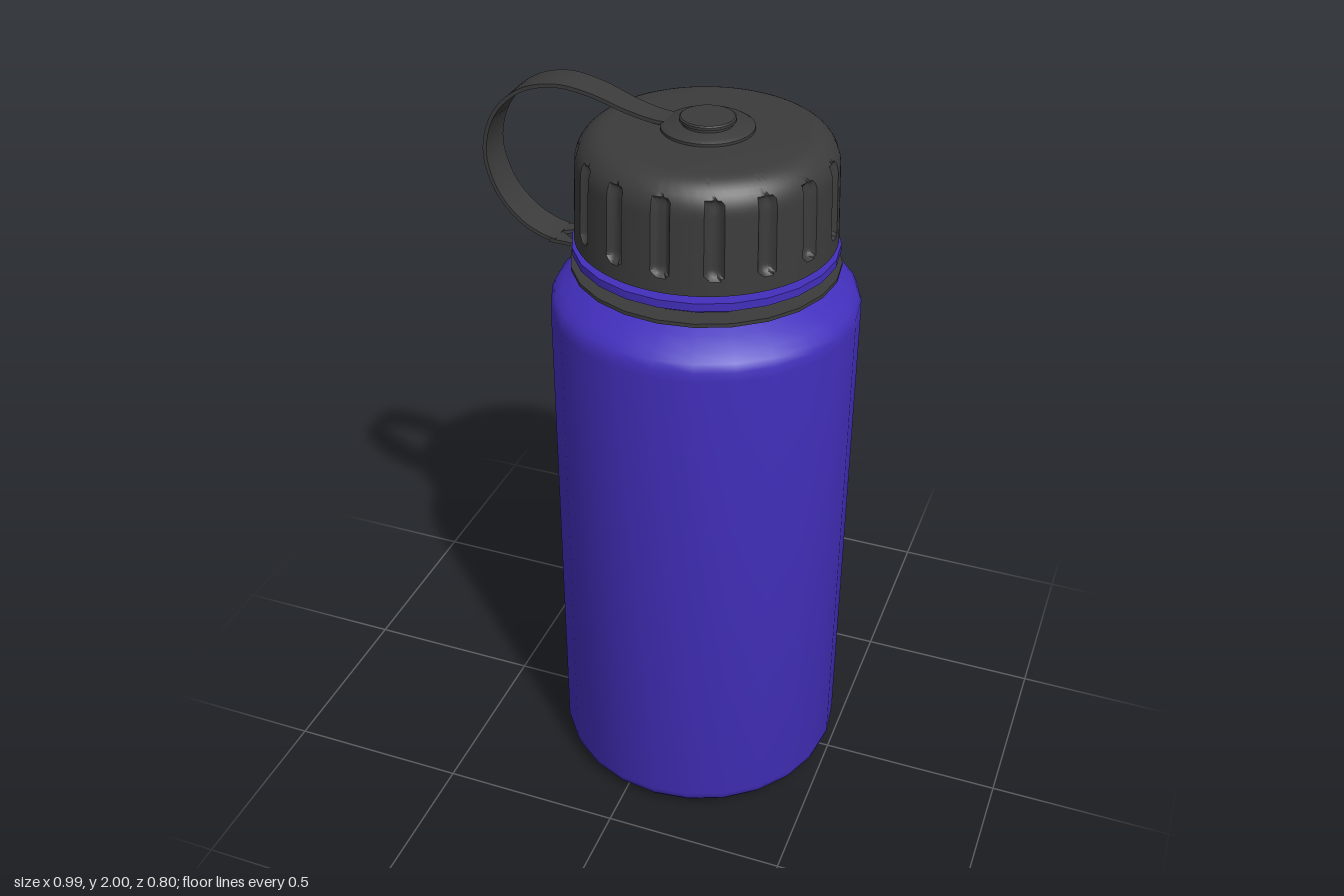
import * as THREE from 'three';
import { toCreasedNormals } from 'three/addons/utils/BufferGeometryUtils.js';

const AXIS = 0.093; // the bottle stands off centre because the strap loops out to one side
const V2 = (x, y) => new THREE.Vector2(x, y);

export function createModel() {
  const blue = new THREE.MeshStandardMaterial({ color: 0x422fbc });
  blue.name = 'blue plastic';
  const black = new THREE.MeshStandardMaterial({ color: 0x3b3b3b });
  black.name = 'black plastic';

  const model = new THREE.Group();
  model.name = 'waterBottle';

  const add = (name, geometry, material, x = 0, y = 0, crease = 0.6) => {
    const mesh = new THREE.Mesh(toCreasedNormals(geometry, crease), material);
    mesh.name = name;
    mesh.position.set(x, y, 0);
    model.add(mesh);
    return mesh;
  };
  const lathe = (points, sides = 24) =>
    new THREE.LatheGeometry(points.map(([r, y]) => V2(r, y)), sides);

  // Body with rounded base and shoulder
  add('body', lathe([
    [0, 0], [0.33, 0], [0.355, 0.006], [0.378, 0.018], [0.393, 0.036], [0.4, 0.06],
    [0.4, 1.445], [0.399, 1.47], [0.39, 1.49], [0.37, 1.507], [0.33, 1.532],
    [0.3, 1.546], [0.287, 1.553], [0.285, 1.565],
  ]), blue, AXIS);

  // Neck with its flange
  add('neck', lathe([
    [0.285, 1.56], [0.285, 1.606], [0.34, 1.606], [0.34, 1.627], [0.285, 1.627], [0.285, 1.635],
  ]), blue, AXIS);
  add('capSeal', lathe([
    [0, 1.629], [0.29, 1.629], [0.29, 1.66],
  ]), black, AXIS);

  // Screw cap: a dense lathe with sixteen rounded grip grooves pressed in
  const profile = [[0.285, 1.643], [0.333, 1.643]];
  for (let i = 1; i <= 26; i++) profile.push([0.333 - 0.007 * i / 26, 1.643 + 0.197 * i / 26]);
  for (let i = 1; i <= 12; i++) {
    const a = (i / 12) * Math.PI / 2;
    profile.push([0.246 + 0.08 * Math.cos(a), 1.84 + 0.084 * Math.sin(a)]);
  }
  profile.push([0, 1.926]);
  const cap = lathe(profile, 256);
  const pos = cap.attributes.position;
  const pitch = Math.PI / 8;
  for (let i = 0; i < pos.count; i++) {
    const x = pos.getX(i), y = pos.getY(i), z = pos.getZ(i);
    const r = Math.hypot(x, z);
    if (r < 0.27 || y < 1.65) continue;
    const angle = Math.atan2(x, z);
    const across = (angle - Math.round(angle / pitch) * pitch) * 0.33;
    const along = y - THREE.MathUtils.clamp(y, 1.705, 1.86);
    const d = Math.hypot(across, along) / 0.023;
    if (d >= 1) continue;
    const k = (r - 0.018 * Math.sqrt(1 - d * d)) / r;
    pos.setXYZ(i, x * k, y, z * k);
  }
  add('cap', cap, black, AXIS, 0, 0.7);

  // Strap eyelet and the button holding it on the cap
  add('strapEyelet', lathe([
    [0, 1.922], [0.116, 1.922], [0.116, 1.932], [0.106, 1.938], [0, 1.938],
  ], 40), black, AXIS);
  add('button', lathe([
    [0.064, 1.936], [0.064, 1.944], [0.07, 1.946], [0.07, 1.953], [0.066, 1.956], [0, 1.956],
  ], 40), black, AXIS);

  // Flat retaining ring around the neck
  add('retainingRing', lathe([
    [0.288, 1.565], [0.345, 1.565], [0.345, 1.575], [0.288, 1.575], [0.288, 1.565],
  ]), black, AXIS);

  // Forked tab joining the ring to the strap
  const tab = new THREE.Shape([
    V2(-0.32, -0.05), V2(-0.235, -0.055), V2(-0.235, 0.055), V2(-0.32, 0.05),
  ]);
  tab.holes.push(new THREE.Path([V2(-0.305, 0), V2(-0.256, 0.036), V2(-0.256, -0.036)]));
  const tabGeometry = new THREE.ExtrudeGeometry(tab, { depth: 0.01, bevelEnabled: false });
  tabGeometry.rotateX(-Math.PI / 2);
  add('strapTab', tabGeometry, black, 0, 1.565);

  // Strap: a flat bar bent along a loop, widening away from the eyelet
  const loop = new THREE.CatmullRomCurve3([
    [0.01, 1.932], [-0.04, 1.936], [-0.11, 1.953], [-0.2, 1.983], [-0.29, 1.995],
    [-0.385, 1.968], [-0.46, 1.895], [-0.49, 1.79], [-0.462, 1.685], [-0.4, 1.612],
    [-0.34, 1.58], [-0.305, 1.571],
  ].map(([x, y]) => new THREE.Vector3(x, y, 0)), false, 'centripetal');
  const strap = new THREE.BoxGeometry(1, 0.01, 2, 64, 1, 1);
  const sp = strap.attributes.position;
  for (let i = 0; i < sp.count; i++) {
    const u = THREE.MathUtils.clamp(sp.getX(i) + 0.5, 0, 1);
    const offset = sp.getY(i);
    const p = loop.getPointAt(u), t = loop.getTangentAt(u);
    const halfWidth = 0.033 + 0.017 * Math.min(1, u / 0.35);
    sp.setXYZ(i, p.x - t.y * offset, p.y + t.x * offset, sp.getZ(i) * halfWidth);
  }
  add('strap', strap, black);

  return model;
}
